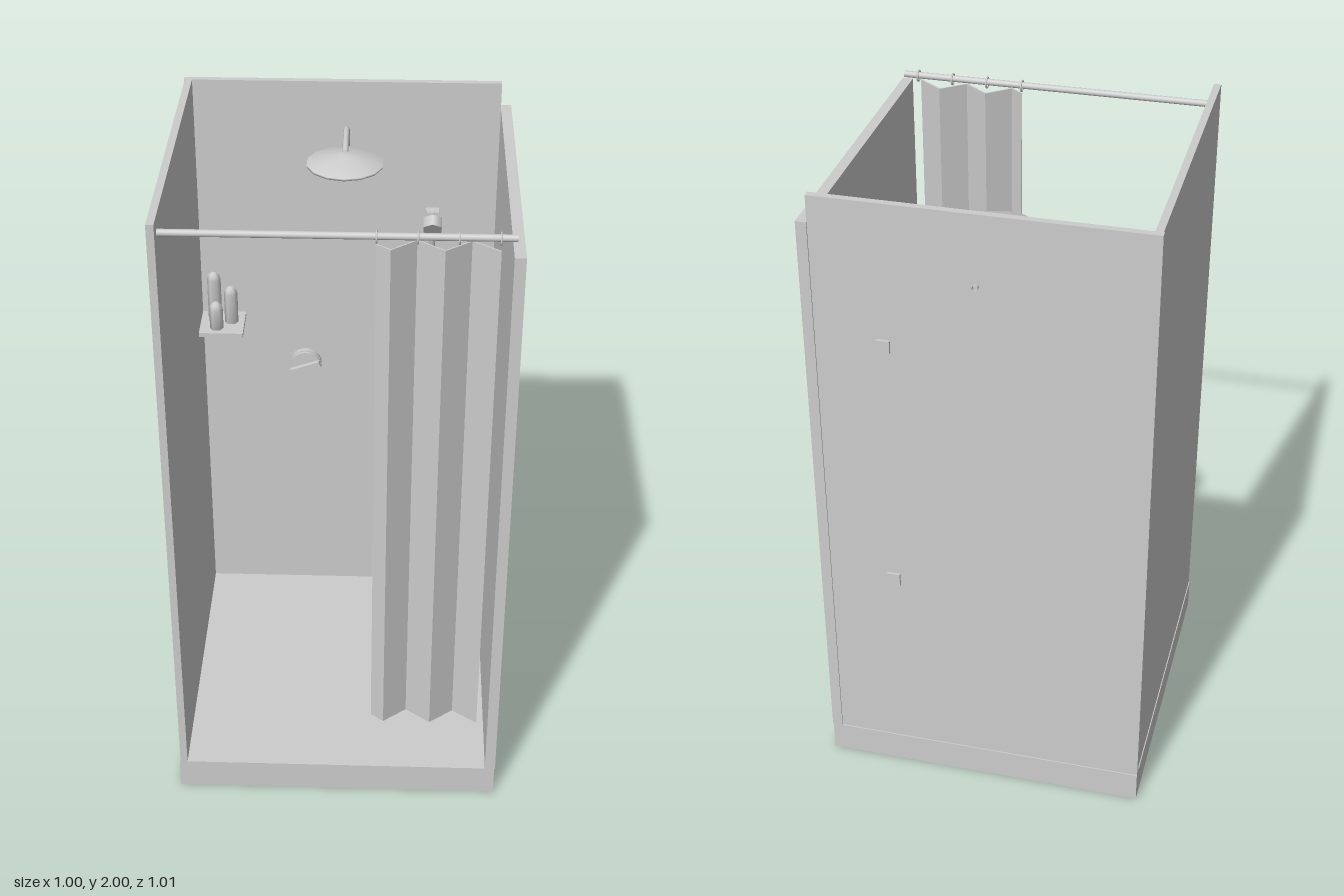
import * as THREE from 'three';

export function createModel() {
  const root = new THREE.Group();
  root.name = 'showerCabin';
  const grey = new THREE.MeshStandardMaterial({ color: 0xcccccc, side: THREE.DoubleSide });
  grey.name = 'plain grey';

  function add(name, geometry, x = 0, y = 0, z = 0, parent = root) {
    const mesh = new THREE.Mesh(geometry, grey);
    mesh.name = name;
    mesh.position.set(x, y, z);
    parent.add(mesh);
    return mesh;
  }
  // Box given by its limits on each axis
  function box(name, x0, x1, y0, y1, z0, z1) {
    return add(name, new THREE.BoxGeometry(x1 - x0, y1 - y0, z1 - z0),
      (x0 + x1) / 2, (y0 + y1) / 2, (z0 + z1) / 2);
  }
  // Straight round bar between two points
  function bar(name, a, b, radius, sides = 12) {
    const from = new THREE.Vector3(...a), to = new THREE.Vector3(...b);
    const dir = to.clone().sub(from);
    const mesh = add(name, new THREE.CylinderGeometry(radius, radius, dir.length(), sides));
    mesh.position.copy(from).add(to).multiplyScalar(0.5);
    mesh.quaternion.setFromUnitVectors(new THREE.Vector3(0, 1, 0), dir.normalize());
    return mesh;
  }

  // Shower tray, hollow underneath
  box('trayFloor', -0.495, 0.495, 0.078, 0.098, -0.495, 0.495);
  for (const s of [-1, 1]) {
    box('traySide', s * 0.4975 - 0.0025, s * 0.4975 + 0.0025, 0, 0.098, -0.5, 0.5);
    box('trayEnd', -0.495, 0.495, 0, 0.098, s * 0.4975 - 0.0025, s * 0.4975 + 0.0025);
  }

  // Walls
  box('leftHandWall', -0.497, -0.475, 0.098, 2, -0.475, 0.5);
  box('backWall', -0.5, 0.47, 0.098, 2, -0.496, -0.475);
  box('rightHandWall', 0.47, 0.492, 0.098, 1.92, -0.492, 0.492);

  // Raised frame around the lower wall
  for (const s of [-1, 1]) {
    box('wallFramePost', 0.47, 0.502, 0.098, 1.92, s * 0.496 - 0.004, s * 0.496 + 0.004);
  }
  box('wallFrameTop', 0.47, 0.502, 1.908, 1.92, -0.492, 0.492);
  box('wallFrameSill', 0.47, 0.502, 0.098, 0.11, -0.492, 0.492);

  // Curtain rod and rings
  bar('curtainRod', [-0.475, 1.955, 0.453], [0.48, 1.955, 0.453], 0.01, 16);
  for (let i = 0; i < 4; i++) {
    const ring = add('curtainRing', new THREE.TorusGeometry(0.016, 0.003, 6, 16),
      0.107 + i * 0.1095, 1.953, 0.453);
    ring.rotation.y = Math.PI / 2;
  }

  // Pleated curtain: a zigzag outline raised to full height
  const folds = [[0.106, 0.45], [0.145, 0.481], [0.215, 0.424], [0.289, 0.481], [0.361, 0.424], [0.436, 0.48]];
  const t = 0.003;
  const outline = [...folds.map(([x, z]) => new THREE.Vector2(x, -z - t)),
    ...folds.slice().reverse().map(([x, z]) => new THREE.Vector2(x, -z + t))];
  const curtainGeometry = new THREE.ExtrudeGeometry(new THREE.Shape(outline), { depth: 1.655, bevelEnabled: false });
  curtainGeometry.rotateX(-Math.PI / 2);
  add('curtain', curtainGeometry, 0, 0.275, 0);

  // Overhead shower head and its bent arm
  const headProfile = [[0, 1.808], [0.05, 1.81], [0.115, 1.826], [0.117, 1.834], [0.06, 1.851], [0.014, 1.862], [0, 1.862]]
    .map(([r, y]) => new THREE.Vector2(r, y));
  add('showerHead', new THREE.LatheGeometry(headProfile, 14), 0, 0, -0.257);
  const armPath = new THREE.CatmullRomCurve3([
    [0, 1.785, -0.51], [0, 1.785, -0.46], [0, 1.81, -0.435], [0, 1.86, -0.425],
    [0, 1.878, -0.4], [0, 1.872, -0.33], [0, 1.858, -0.275],
  ].map((p) => new THREE.Vector3(...p)));
  add('showerArm', new THREE.TubeGeometry(armPath, 30, 0.009, 8));

  // Mixer dial with a slanted grip
  const dial = add('mixerDial', new THREE.CylinderGeometry(0.052, 0.052, 0.018, 24), -0.137, 1.003, -0.466);
  dial.rotation.x = Math.PI / 2;
  const rim = add('mixerKnob', new THREE.CylinderGeometry(0.052, 0.052, 0.01, 24), -0.137, 1.003, -0.447);
  rim.rotation.x = Math.PI / 2;
  const spindle = add('mixerSpindle', new THREE.CylinderGeometry(0.025, 0.025, 0.02, 12), -0.137, 1.003, -0.455);
  spindle.rotation.x = Math.PI / 2;
  const grip = add('mixerGrip', new THREE.BoxGeometry(0.1, 0.02, 0.016), -0.137, 1.003, -0.435);
  grip.rotation.z = 0.33;

  // Corner shelf with three round-topped bottles
  box('shelf', -0.475, -0.333, 1.175, 1.19, -0.475, -0.33);
  for (const [x, z, top] of [[-0.43, -0.43, 1.36], [-0.375, -0.41, 1.32], [-0.42, -0.367, 1.285]]) {
    const h = top - 1.19;
    const profile = [[0, 0], [0.022, 0], [0.022, h - 0.025], [0.018, h - 0.01], [0.009, h - 0.001], [0, h]]
      .map(([r, y]) => new THREE.Vector2(r, y));
    const bottle = add('bottle', new THREE.LatheGeometry(profile, 6), x, 1.19, z);
    bottle.rotation.y = Math.PI / 6;
  }

  // Hand shower on a wall rail
  for (const y of [0.74, 1.56]) {
    box('railMount', 0.25, 0.29, y - 0.02, y + 0.02, -0.505, -0.44);
  }
  bar('rail', [0.27, 0.72, -0.448], [0.27, 1.58, -0.448], 0.01);
  box('handShowerHolder', 0.249, 0.292, 1.47, 1.51, -0.465, -0.43);
  bar('handShowerHandle', [0.27, 1.4, -0.43], [0.27, 1.57, -0.395], 0.012, 6);
  bar('handShowerHead', [0.27, 1.575, -0.4], [0.27, 1.555, -0.37], 0.033, 6);

  return root;
}
